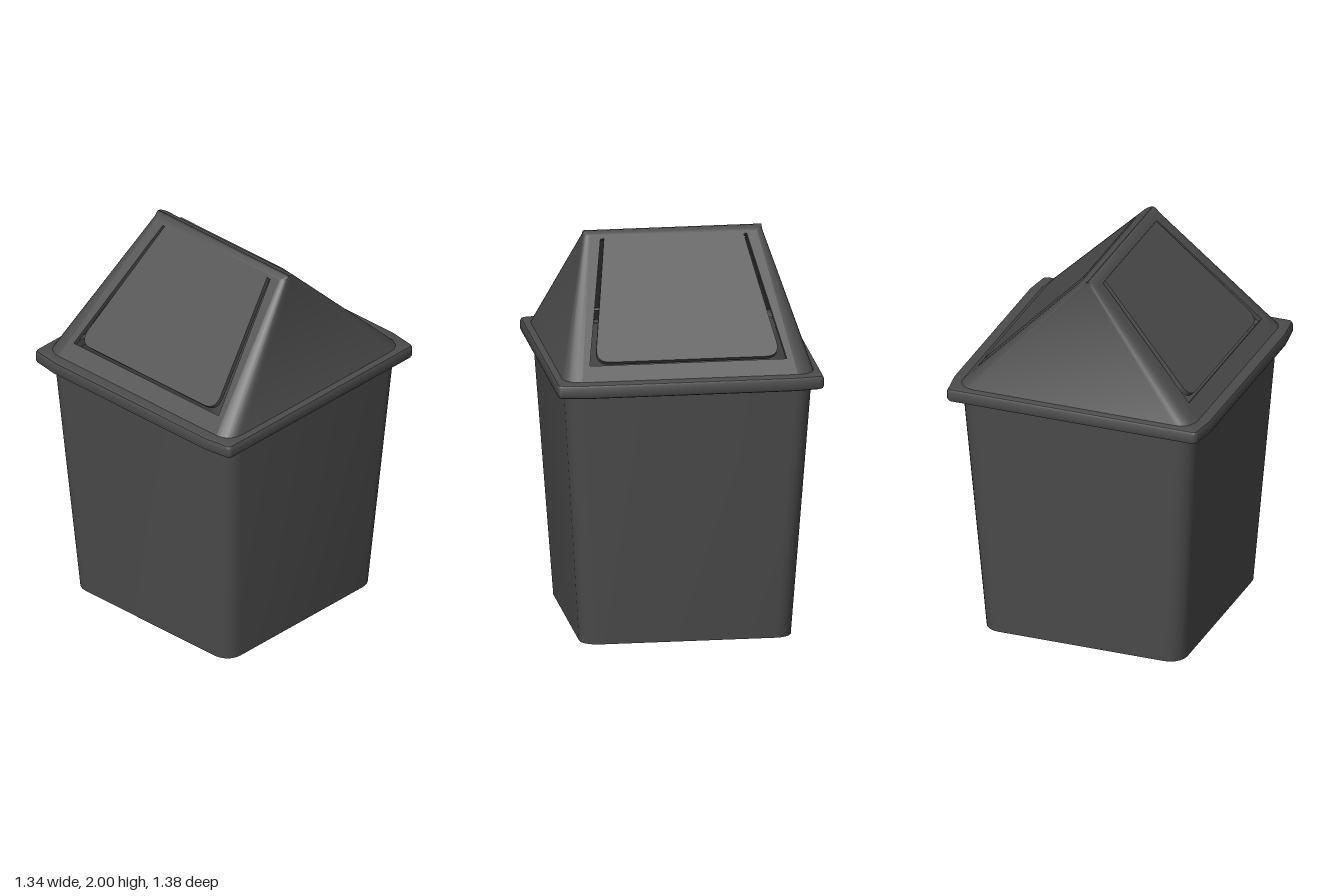
import * as THREE from 'three';
import { toCreasedNormals } from 'three/addons/utils/BufferGeometryUtils.js';

const ARC = 5; // segments per rounded corner

// Rounded rectangle ring at height y; bow pushes the middle of front and back outward
function ring(hx, hz, r, y, bow = 0) {
  const q = [];
  r = Math.min(r, hx, hz);
  for (let i = 0; i <= ARC; i++) {
    const a = (i / ARC) * Math.PI / 2;
    q.push([hx - r + r * Math.cos(a), hz - r + r * Math.sin(a)]);
  }
  if (bow) q.push([0.52, hz + bow]);
  const rev = [...q].reverse();
  const quadrants = [[q, 1, 1], [rev, -1, 1], [q, -1, -1], [rev, 1, -1]];
  return quadrants.flatMap(([pts, sx, sz]) => pts.map(([x, z]) => [x * sx, y, z * sz]));
}

// Skin a list of rings; the front and back strips can be left open up to a given ring
function loft(rings, openUntil = 0) {
  const n = rings[0].length, idx = [];
  for (let i = 0; i < rings.length - 1; i++) {
    for (let j = 0; j < n; j++) {
      const isFace = j === n / 4 - 1 || j === (3 * n) / 4 - 1;
      if (i < openUntil && isFace) continue;
      const k = (j + 1) % n;
      const a = i * n + j, b = a + n, c = i * n + k, d = c + n;
      idx.push(a, b, c, c, b, d);
    }
  }
  const g = new THREE.BufferGeometry();
  g.setAttribute('position', new THREE.Float32BufferAttribute(rings.flat(2), 3));
  g.setIndex(idx);
  return toCreasedNormals(g, 0.6);
}

function trapezoid(target, bottomHalf, bottom, topHalf, top) {
  target.moveTo(-bottomHalf, bottom);
  target.lineTo(bottomHalf, bottom);
  target.lineTo(topHalf, top);
  target.lineTo(-topHalf, top);
  target.closePath();
  return target;
}

export function createModel() {
  const model = new THREE.Group();
  const material = new THREE.MeshStandardMaterial({ color: 0x4c4c4c, side: THREE.DoubleSide });
  const add = (parent, name, geometry) => {
    const mesh = new THREE.Mesh(geometry, material);
    mesh.name = name;
    parent.add(mesh);
    return mesh;
  };

  // Tapered hollow bin: floor, outer wall, lip, inner wall, inner floor
  add(model, 'binBody', loft([
    ring(0.001, 0.001, 0.001, 0),
    ring(0.535, 0.535, 0.09, 0),
    ring(0.627, 0.627, 0.09, 1.35),
    ring(0.607, 0.607, 0.08, 1.35),
    ring(0.515, 0.515, 0.08, 0.02),
    ring(0.001, 0.001, 0.001, 0.02),
  ]));

  // Overhanging rim with rounded edge
  const rimProfile = [
    [0.07, 1.312], [0.016, 1.312], [0.005, 1.317], [0, 1.328],
    [0, 1.37], [0.005, 1.381], [0.016, 1.386], [0.07, 1.386],
  ];
  add(model, 'rim', loft(rimProfile.map(([d, y]) => ring(0.672 - d, 0.672 - d, 0.022, y, 0.018))));

  // Lid shell: sloped ends, corners and rounded ridge
  const lid = new THREE.Group();
  lid.name = 'lid';
  model.add(lid);
  const baseY = 1.385, baseZ = 0.632, ridgeR = 0.06;
  const tilt = Math.PI / 4;
  const topZ = ridgeR * Math.sin(tilt);
  const topY = 2 - ridgeR + ridgeR * Math.cos(tilt);
  const lidRings = [ring(0.635, baseZ, 0.09, baseY)];
  for (let i = 0; i <= 6; i++) {
    const a = tilt * (1 - i / 6);
    const z = Math.max(ridgeR * Math.sin(a), 0.001);
    lidRings.push(ring(0.452, z, 0.03 * (z / topZ), 2 - ridgeR + ridgeR * Math.cos(a)));
  }
  add(lid, 'lidShell', loft(lidRings, 1));

  // Sloped faces with openings, each holding a swing flap
  const rise = topY - baseY, run = baseZ - topZ;
  const length = Math.hypot(rise, run);
  for (const side of ['front', 'back']) {
    const turn = new THREE.Group();
    turn.name = side + 'Slope';
    turn.rotation.y = side === 'front' ? 0 : Math.PI;
    lid.add(turn);

    const frame = trapezoid(new THREE.Shape(), 0.545, -length, 0.422, 0);
    frame.holes.push(trapezoid(new THREE.Path(), 0.498, -0.745, 0.37, -0.018));
    const frameGeo = new THREE.ExtrudeGeometry(frame, { depth: 0.025, bevelEnabled: false });
    frameGeo.translate(0, 0, -0.025);

    const flap = new THREE.Shape();
    flap.moveTo(-0.352, -0.015);
    flap.lineTo(-0.455, -0.65);
    flap.quadraticCurveTo(-0.468, -0.73, -0.39, -0.73);
    flap.lineTo(0.39, -0.73);
    flap.quadraticCurveTo(0.468, -0.73, 0.455, -0.65);
    flap.lineTo(0.352, -0.015);
    flap.closePath();
    const flapGeo = new THREE.ExtrudeGeometry(flap, { depth: 0.026, bevelEnabled: false, curveSegments: 8 });
    flapGeo.translate(0, 0, -0.02);

    const parts = [
      add(turn, side + 'Frame', frameGeo),
      add(turn, side + 'Flap', toCreasedNormals(flapGeo, 0.6)),
    ];
    for (const part of parts) {
      part.position.set(0, topY, topZ);
      part.rotation.x = -Math.atan2(run, rise);
    }
  }
  return model;
}
